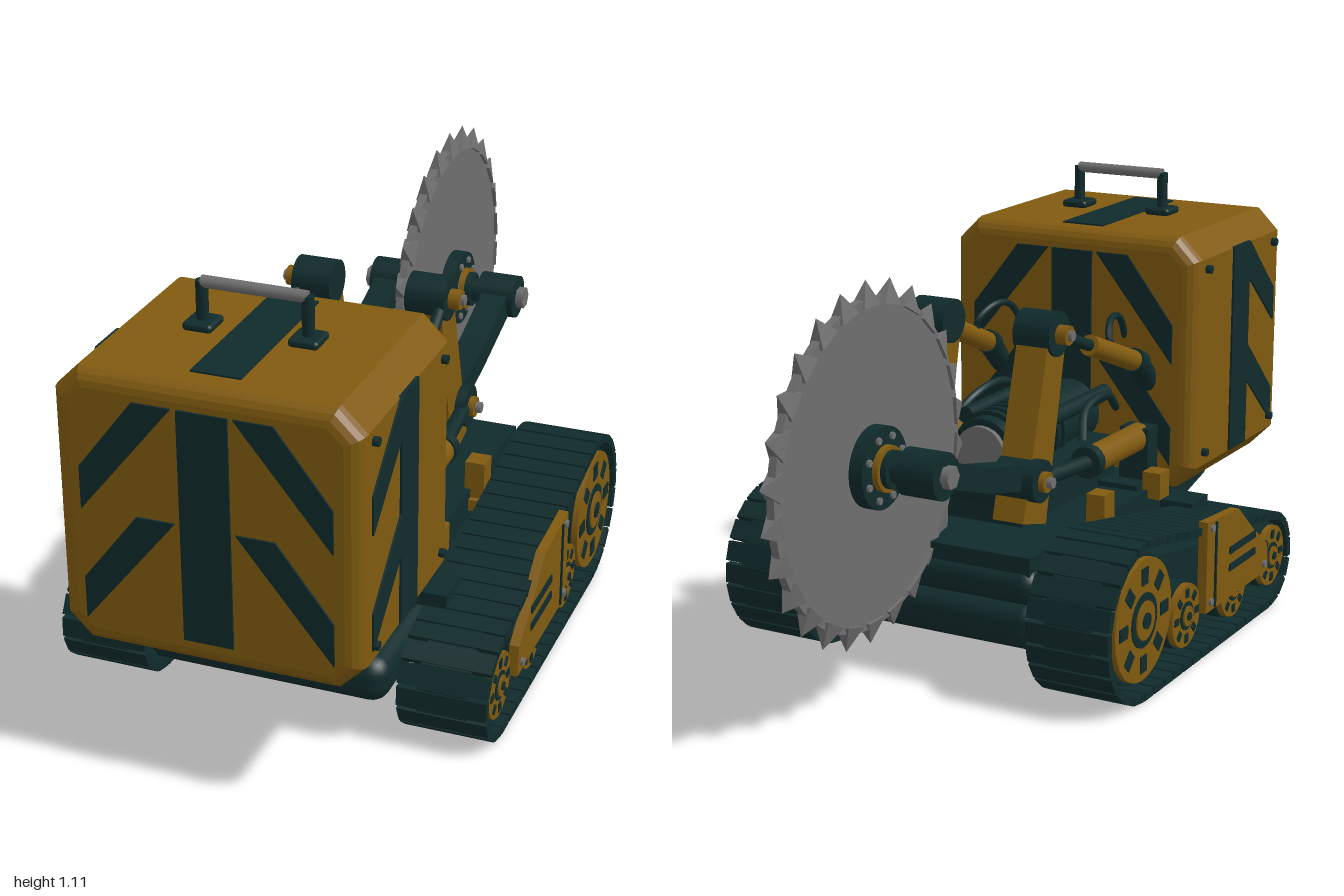
import * as THREE from 'three';
import { RoundedBoxGeometry } from 'three/addons/geometries/RoundedBoxGeometry.js';

const material = (name, color) => Object.assign(new THREE.MeshStandardMaterial({ color }), { name });
const yellow = material('ochre paint', 0x805a10);
const dark = material('dark teal', 0x102a2b);
const grey = material('steel grey', 0x6e6e6e);

export function createModel() {
  const model = new THREE.Group();
  model.name = 'trackedSawMachine';

  const add = (name, geo, mat, x = 0, y = 0, z = 0) => {
    const m = new THREE.Mesh(geo, mat);
    m.name = name;
    m.position.set(x, y, z);
    model.add(m);
    return m;
  };
  const box = (name, mat, x, y, z, w, h, d) => add(name, new THREE.BoxGeometry(w, h, d), mat, x, y, z);
  const rounded = (name, mat, x, y, z, w, h, d, r) =>
    add(name, new RoundedBoxGeometry(w, h, d, 3, r), mat, x, y, z);
  // cylinder lying along x
  const drum = (name, mat, x, y, z, r, w, n = 24) =>
    add(name, new THREE.CylinderGeometry(r, r, w, n).rotateZ(Math.PI / 2), mat, x, y, z);
  // cylinder between two points
  const rod = (name, mat, a, b, r, n = 16) => {
    const p = new THREE.Vector3(...a), q = new THREE.Vector3(...b);
    const m = add(name, new THREE.CylinderGeometry(r, r, p.distanceTo(q), n), mat);
    m.position.copy(p).add(q).multiplyScalar(0.5);
    m.quaternion.setFromUnitVectors(new THREE.Vector3(0, 1, 0), q.sub(p).normalize());
    return m;
  };
  const poly = pts => new THREE.Shape(pts.map(p => new THREE.Vector2(...p)));
  const extrude = (shape, depth) =>
    new THREE.ExtrudeGeometry(shape, { depth, bevelEnabled: false }).translate(0, 0, -depth / 2);
  // outline in (z, y), extruded along x and centred on x
  const side = (name, mat, pts, x, w) => add(name, extrude(poly(pts), w).rotateY(-Math.PI / 2), mat, x);

  // housing with chamfered corners and rounded front and back edges
  const b = 0.04, W = 0.352 - b, lo = 0.32 + b, hi = 0.985 - b, c = 0.035;
  const housing = new THREE.ExtrudeGeometry(poly([
    [-W + c, lo], [W - c, lo], [W, lo + c], [W, hi - c], [W - c, hi], [-W + c, hi], [-W, hi - c], [-W, lo + c],
  ]), { depth: 0.56 - 2 * b, bevelSize: b, bevelThickness: b, bevelSegments: 4 });
  add('housing', housing, yellow, 0, 0, 0.432 + b);

  // painted stripes on the front and back, sides and top
  for (const z of [0.993, 0.431]) {
    box('centreStripe', dark, 0, 0.655, z, 0.116, 0.55, 0.008);
    for (const s of [1, -1]) for (const dy of [0, -0.27]) {
      const pts = [[0.07, 0.93], [0.16, 0.93], [0.29, 0.76], [0.29, 0.657]];
      add('chevron', extrude(poly(pts.map(([x, y]) => [x * s, y + dy])), 0.008), dark, 0, 0, z);
    }
  }
  for (const s of [1, -1]) {
    box('sideStripe', dark, s * 0.353, 0.655, 0.715, 0.008, 0.55, 0.105);
    for (const dy of [0, -0.28])
      side('sideChevron', dark, [[0.767, 0.93 + dy], [0.767, 0.83 + dy], [0.935, 0.685 + dy], [0.935, 0.775 + dy]],
        s * 0.353, 0.008);
    for (const y of [0.9, 0.415]) for (const z of [0.925, 0.5])
      drum('housingBolt', dark, s * 0.356, y, z, 0.011, 0.02, 8);
  }
  box('topStripe', dark, 0, 0.985, 0.705, 0.116, 0.008, 0.43);

  // carrying handle
  for (const s of [1, -1]) {
    rounded('handleFoot', dark, s * 0.123, 1.0, 0.71, 0.07, 0.02, 0.075, 0.009);
    rod('handlePost', dark, [s * 0.123, 1.0, 0.71], [s * 0.123, 1.1, 0.71], 0.014);
  }
  drum('handleBar', grey, 0, 1.097, 0.71, 0.014, 0.245, 16);

  // chassis: belly, deck and housing support
  rounded('belly', dark, 0, 0.168, 0.2, 0.6, 0.115, 1.04, 0.045);
  box('deck', dark, 0, 0.292, 0.08, 0.56, 0.11, 0.78);
  rounded('rearDeckEdge', dark, 0, 0.27, -0.25, 0.6, 0.09, 0.15, 0.04);
  side('housingSupport', dark, [[0.78, 0.33], [0.72, 0.29], [0.5, 0.238], [0.3, 0.238], [0.3, 0.36], [0.43, 0.36]], 0, 0.52);
  box('crossBeam', dark, 0, 0.285, 0.45, 0.74, 0.035, 0.1);
  rod('deckPost', dark, [0, 0.2, 0.3], [0, 0.25, 0.3], 0.02);

  // engine with ribbed top and steel end
  box('engineBed', dark, 0, 0.4, 0.14, 0.3, 0.12, 0.5);
  rod('engine', dark, [0, 0.5, -0.04], [0, 0.5, 0.43], 0.085, 24);
  rod('engineEnd', grey, [0, 0.5, -0.055], [0, 0.5, -0.04], 0.068, 24);
  for (let i = 0; i < 7; i++)
    rod('engineRib', dark, [0, 0.5, i * 0.036], [0, 0.5, i * 0.036 + 0.018], 0.096, 24);
  for (const s of [1, -1]) {
    rod('enginePipe', dark, [s * 0.1, 0.56, 0.43], [s * 0.1, 0.56, 0.05], 0.022);
    rod('lowerPipe', dark, [s * 0.11, 0.42, 0.4], [s * 0.11, 0.42, -0.1], 0.028);
  }

  // track loop outline around rear sprocket and front idler
  const loop = new THREE.Path();
  loop.absarc(0.56, 0.13, 0.119, -1.571, 1.387, false);
  loop.absarc(-0.2, 0.2, 0.189, 1.387, Math.PI * 2 - 1.571, false);
  loop.closePath();
  const COUNT = 46, path = loop.getSpacedPoints(COUNT);

  const wheel = (s, z, y, r) => {
    drum('wheelRim', dark, s * 0.425, y, z, r, 0.17, 32);
    drum('wheelFace', yellow, s * 0.46, y, z, r * 0.94, 0.13, 32);
    drum('wheelRing', dark, s * 0.462, y, z, r * 0.42, 0.132, 24);
    drum('wheelHub', yellow, s * 0.465, y, z, r * 0.3, 0.134, 16);
    drum('wheelBolt', dark, s * 0.468, y, z, r * 0.13, 0.136, 8);
    for (let i = 0; i < 8; i++) {
      const a = i * Math.PI / 4;
      const slot = box('wheelSlot', dark, s * 0.524, y + Math.sin(a) * r * 0.68, z + Math.cos(a) * r * 0.68,
        0.008, r * 0.2, r * 0.26);
      slot.rotation.x = -a;
    }
  };

  for (const s of [1, -1]) {
    // track pads
    for (let i = 0; i < COUNT; i++) {
      const p = path[i], q = path[i + 1], len = p.distanceTo(q);
      const pad = box('trackPad', dark, s * 0.423, (p.y + q.y) / 2, (p.x + q.x) / 2, 0.215, 0.02, len * 0.9);
      pad.rotation.x = -Math.atan2(q.y - p.y, q.x - p.x);
      const link = box('trackLink', dark, s * 0.423, (p.y + q.y) / 2, (p.x + q.x) / 2, 0.12, 0.012, len * 1.04);
      link.rotation.x = pad.rotation.x;
    }
    // track frame and wheels
    side('trackFrame', dark, [[0.6, 0.11], [0.6, 0.19], [-0.15, 0.32], [-0.28, 0.24], [-0.22, 0.11]], s * 0.4, 0.13);
    box('frameMount', dark, s * 0.31, 0.23, 0.15, 0.12, 0.09, 0.5);
    wheel(s, -0.2, 0.205, 0.16);
    wheel(s, 0.57, 0.14, 0.085);
    wheel(s, 0.325, 0.125, 0.08);
    wheel(s, 0.04, 0.14, 0.085);

    // side guard with vents
    side('sideGuard', yellow, [[0.5, 0.125], [0.49, 0.2], [0.39, 0.27], [0.3, 0.345], [0.11, 0.36], [0.11, 0.125]],
      s * 0.533, 0.024);
    box('guardSeam', dark, s * 0.546, 0.24, 0.16, 0.006, 0.22, 0.008);
    for (const y of [0.25, 0.205]) box('guardVent', dark, s * 0.546, y, 0.325, 0.006, 0.018, 0.16);
    for (const [z, y] of [[0.47, 0.15], [0.135, 0.15], [0.135, 0.34]])
      drum('guardBolt', grey, s * 0.546, y, z, 0.01, 0.012, 8);
    box('guardBracket', yellow, s * 0.29, 0.36, 0.35, 0.05, 0.07, 0.055);
    box('rearBracket', yellow, s * 0.29, 0.36, 0.035, 0.05, 0.12, 0.055);
    box('bracketFoot', yellow, s * 0.29, 0.31, 0.035, 0.07, 0.03, 0.085);

    // upright lever
    side('lever', yellow, [[0.04, 0.81], [0.03, 0.84], [-0.04, 0.84], [-0.055, 0.8], [-0.175, 0.38], [-0.06, 0.35]],
      s * 0.147, 0.085);
    drum('leverPivot', dark, s * 0.147, 0.815, -0.01, 0.055, 0.1);
    drum('leverPin', yellow, s * 0.2, 0.815, -0.01, 0.025, 0.05, 12);
    drum('leverBolt', grey, s * 0.225, 0.815, -0.01, 0.014, 0.02, 6);

    // saw arm
    side('sawArm', dark, [[-0.1, 0.51], [-0.11, 0.445], [-0.32, 0.495], [-0.56, 0.57], [-0.55, 0.635], [-0.33, 0.56]],
      s * 0.15, 0.07);
    drum('armPivot', dark, s * 0.16, 0.478, -0.125, 0.053, 0.11);
    drum('armPin', yellow, s * 0.215, 0.478, -0.125, 0.026, 0.03, 12);
    drum('armBolt', grey, s * 0.235, 0.478, -0.125, 0.014, 0.02, 6);
    drum('armEnd', dark, s * 0.15, 0.6, -0.557, 0.056, 0.1);
    drum('armEndBolt', grey, s * 0.208, 0.6, -0.557, 0.028, 0.025, 6);

    // upper hydraulic ram
    rod('upperRam', yellow, [s * 0.215, 0.67, 0.37], [s * 0.195, 0.755, 0.15], 0.027);
    rod('upperRod', dark, [s * 0.195, 0.755, 0.15], [s * 0.18, 0.815, -0.01], 0.015);
    rod('upperRamCap', dark, [s * 0.217, 0.66, 0.395], [s * 0.214, 0.675, 0.36], 0.032);
    rod('upperRamBase', dark, [s * 0.217, 0.6, 0.45], [s * 0.217, 0.665, 0.38], 0.03);

    // lower hydraulic ram
    rod('lowerRam', yellow, [s * 0.22, 0.467, 0.39], [s * 0.22, 0.47, 0.1], 0.036);
    rod('lowerRod', dark, [s * 0.22, 0.47, 0.1], [s * 0.2, 0.478, -0.125], 0.019);
    rod('lowerRamCap', dark, [s * 0.22, 0.47, 0.12], [s * 0.22, 0.47, 0.09], 0.041);
    box('lowerRamMount', dark, s * 0.22, 0.42, 0.39, 0.08, 0.15, 0.06);

    // hydraulic hose
    const hose = new THREE.CatmullRomCurve3([[0.15, 0.7, 0.45], [0.16, 0.775, 0.39], [0.17, 0.785, 0.32],
      [0.19, 0.75, 0.27], [0.2, 0.71, 0.28]].map(([x, y, z]) => new THREE.Vector3(s * x, y, z)));
    add('hose', new THREE.TubeGeometry(hose, 20, 0.009, 8), dark);
    const lowHose = new THREE.CatmullRomCurve3([[0.13, 0.52, 0.44], [0.15, 0.58, 0.34], [0.16, 0.57, 0.2],
      [0.19, 0.51, 0.13]].map(([x, y, z]) => new THREE.Vector3(s * x, y, z)));
    add('lowHose', new THREE.TubeGeometry(lowHose, 20, 0.011, 8), dark);
  }
  drum('leverShaft', dark, 0, 0.42, -0.09, 0.03, 0.3);

  // circular saw
  const SY = 0.6, SZ = -0.565, TEETH = 26;
  drum('sawBlade', grey, 0, SY, SZ, 0.388, 0.02, 78);
  for (let i = 0; i < TEETH; i++) {
    const a = i / TEETH * Math.PI * 2;
    const geo = new THREE.ConeGeometry(0.042, 0.06, 4).rotateY(Math.PI / 4).toNonIndexed();
    geo.computeVertexNormals();
    const tooth = add('sawTooth', geo.scale(0.65, 1, 1.15).translate(0, 0.4, 0).rotateX(a), grey, 0, SY, SZ);
    tooth.scale.x = 1;
  }
  drum('sawAxle', dark, 0, SY, SZ, 0.03, 0.25);
  drum('sawHub', dark, 0, SY, SZ, 0.097, 0.09, 32);
  drum('sawHubRing', yellow, 0, SY, SZ, 0.055, 0.12);
  drum('sawHubCap', dark, 0, SY, SZ, 0.045, 0.15);
  for (let i = 0; i < 8; i++) {
    const a = (i + 0.5) * Math.PI / 4;
    drum('hubBolt', grey, 0, SY + Math.sin(a) * 0.076, SZ + Math.cos(a) * 0.076, 0.009, 0.105, 6);
  }
  return model;
}
